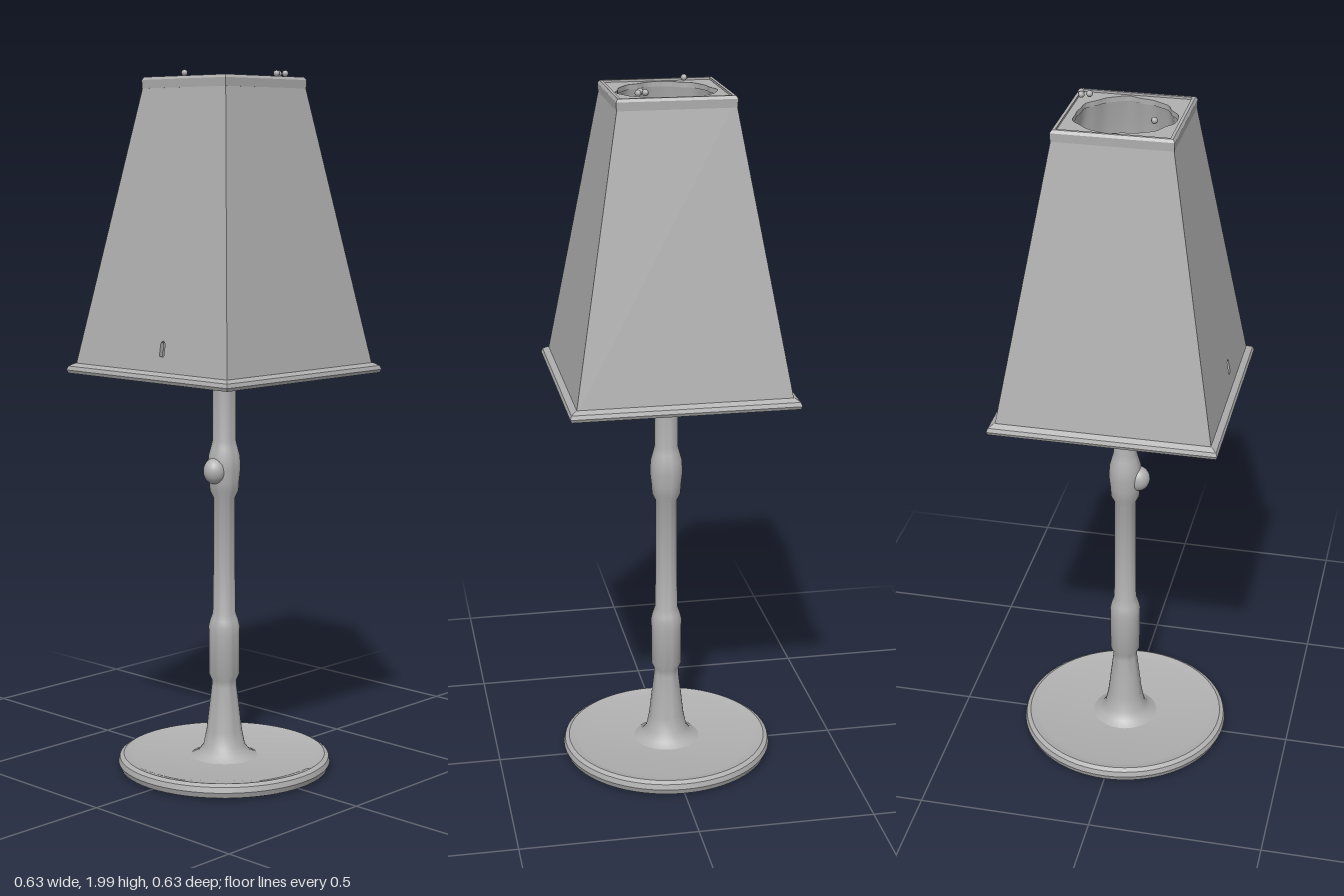
import * as THREE from 'three';
import { toCreasedNormals } from 'three/addons/utils/BufferGeometryUtils.js';

const SHADE = { y0: 1.165, y1: 1.965, half0: 0.297, half1: 0.156, wall: 0.014 };

export function createModel() {
  const model = new THREE.Group();
  model.name = 'tableLamp';
  const grey = new THREE.MeshStandardMaterial({ color: 0xb0b0b0 });
  grey.name = 'plainGrey';
  const greyOpen = new THREE.MeshStandardMaterial({ color: 0xb0b0b0, side: THREE.DoubleSide });
  greyOpen.name = 'plainGreyTwoSided';

  const add = (name, geometry, material = grey, parent = model) => {
    const mesh = new THREE.Mesh(geometry, material);
    mesh.name = name;
    parent.add(mesh);
    return mesh;
  };
  const points = (list) => list.map(([x, y]) => new THREE.Vector2(x, y));
  const turned = (list, segments = 48) =>
    toCreasedNormals(new THREE.LatheGeometry(points(list), segments), 0.6);
  // Square ring: a four-sided lathe whose radius is given as half the side
  const squareRing = (list) => {
    const corners = list.map(([half, y]) => [half * Math.SQRT2, y]);
    return toCreasedNormals(new THREE.LatheGeometry(points(corners), 4, Math.PI / 4), 0.3);
  };

  // Round foot with a slightly raised rim
  add('foot', turned([
    [0, 0.008], [0.285, 0.008], [0.3, 0.014], [0.306, 0.03], [0.302, 0.045],
    [0.29, 0.052], [0.275, 0.048], [0.26, 0.044], [0, 0.044],
  ], 64));

  // Turned stem with a flared bottom and two collars
  add('stem', turned([
    [0.1, 0.042], [0.075, 0.055], [0.06, 0.075], [0.051, 0.12], [0.043, 0.19], [0.036, 0.25],
    [0.036, 0.268], [0.044, 0.285], [0.044, 0.4], [0.045, 0.425], [0.04, 0.445], [0.033, 0.465],
    [0.031, 0.6], [0.031, 0.8], [0.041, 0.82], [0.043, 0.85], [0.047, 0.885], [0.045, 0.92],
    [0.038, 0.945], [0.033, 0.965], [0.033, 1.26], [0.045, 1.3], [0.045, 1.4], [0.033, 1.43],
    [0.033, 1.62],
  ], 32));

  // Switch knob on the front of the upper collar
  const knob = add('switchKnob', new THREE.SphereGeometry(0.034, 20, 14));
  knob.position.set(0, 0.88, 0.038);
  knob.scale.set(0.95, 1.1, 1);

  // Shade: four leaning panels with mitred inner corners
  const shade = new THREE.Group();
  shade.name = 'shade';
  model.add(shade);
  const { y0, y1, half0, half1, wall } = SHADE;
  const run = half0 - half1;
  const slope = Math.hypot(run, y1 - y0);
  const lean = Math.atan2(run, y1 - y0);

  function panelGeometry(withSlot) {
    const shape = new THREE.Shape(points([[-half0, 0], [half0, 0], [half1, slope], [-half1, slope]]));
    if (withSlot) {
      shape.holes.push(new THREE.Path(points([
        [0.033, 0.062], [0.033, 0.1], [0.042, 0.105], [0.05, 0.098], [0.05, 0.062],
      ])));
    }
    const geometry = new THREE.ExtrudeGeometry(shape, { depth: wall, bevelEnabled: false });
    geometry.translate(0, 0, -wall);
    const p = geometry.attributes.position;
    for (let i = 0; i < p.count; i++) {
      if (p.getZ(i) > -wall / 2) continue;
      const half = half0 - (run * p.getY(i)) / slope;
      p.setX(i, p.getX(i) * (1 - wall / half));
    }
    geometry.computeVertexNormals();
    geometry.rotateX(-lean);
    return geometry.translate(0, y0, half0);
  }
  ['front', 'left', 'back', 'right'].forEach((side, i) => {
    add(side + 'Panel', panelGeometry(side === 'front').rotateY((i * Math.PI) / 2), grey, shade);
  });

  // Flared bottom lip and narrow top lip
  add('bottomLip', squareRing([
    [0.285, 1.156], [0.31, 1.156], [0.314, 1.165], [0.31, 1.176], [0.297, 1.184],
    [0.284, 1.184], [0.285, 1.156],
  ]), grey, shade);
  add('topLip', squareRing([
    [0.148, 1.945], [0.16, 1.945], [0.161, 1.968], [0.156, 1.976], [0.148, 1.976], [0.148, 1.945],
  ]), grey, shade);

  // Uneven round opening shared by the top plate and the hollow below it
  const wobble = (a) => 1 + 0.035 * Math.sin(3 * a + 0.6) + 0.025 * Math.sin(7 * a) + 0.015 * Math.sin(13 * a);
  const plate = new THREE.Shape(points([[-0.152, -0.152], [0.152, -0.152], [0.152, 0.152], [-0.152, 0.152]]));
  const opening = [];
  for (let i = 0; i < 64; i++) {
    const a = (i / 64) * Math.PI * 2;
    opening.push([Math.cos(a) * 0.133 * wobble(a), Math.sin(a) * 0.133 * wobble(a)]);
  }
  plate.holes.push(new THREE.Path(points(opening)));
  add('topPlate', new THREE.ExtrudeGeometry(plate, { depth: 0.014, bevelEnabled: false })
    .rotateX(-Math.PI / 2).translate(0, 1.956, 0), grey, shade);

  // Lumpy hollow closing the inside of the shade
  const hollow = new THREE.LatheGeometry(points([
    [0, 1.63], [0.05, 1.63], [0.1, 1.64], [0.14, 1.67], [0.155, 1.74], [0.155, 1.82],
    [0.148, 1.89], [0.134, 1.965],
  ]), 64);
  const p = hollow.attributes.position;
  for (let i = 0; i < p.count; i++) {
    const x = p.getX(i), y = p.getY(i), z = p.getZ(i);
    const k = wobble(Math.atan2(-z, x));
    const lump = y < 1.7 ? 0.012 * Math.sin(x * 38) * Math.cos(z * 31) : 0;
    p.setXYZ(i, x * k, y + lump, z * k);
  }
  hollow.computeVertexNormals();
  add('innerHollow', hollow, greyOpen, shade);

  // Small beads on the top edge
  [[0.09, -0.115], [0.08, -0.135], [-0.065, 0.09], [0.1, -0.14]].forEach(([x, z]) => {
    add('edgeBead', new THREE.SphereGeometry(0.009, 8, 6), grey, shade).position.set(x, 1.987, z);
  });

  return model;
}
